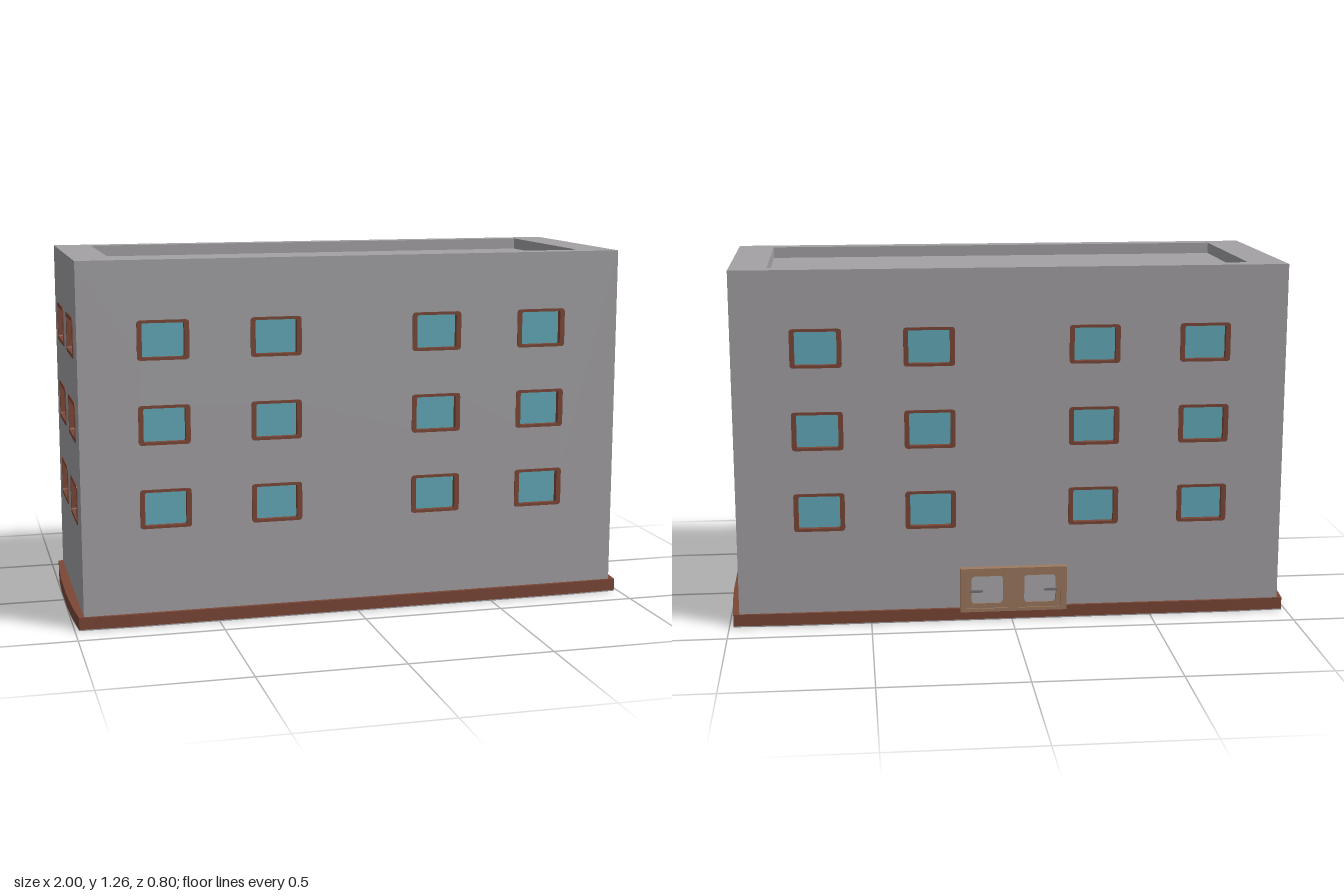
import * as THREE from 'three';

const mat = (name, color) => {
  const m = new THREE.MeshStandardMaterial({ color });
  m.name = name;
  return m;
};

// Rounded rectangle outline, usable as a shape or a hole
function roundRect(cx, cy, w, h, r, Type = THREE.Shape) {
  const p = new Type(), a = w / 2, b = h / 2;
  p.moveTo(cx - a + r, cy - b);
  p.lineTo(cx + a - r, cy - b);
  p.quadraticCurveTo(cx + a, cy - b, cx + a, cy - b + r);
  p.lineTo(cx + a, cy + b - r);
  p.quadraticCurveTo(cx + a, cy + b, cx + a - r, cy + b);
  p.lineTo(cx - a + r, cy + b);
  p.quadraticCurveTo(cx - a, cy + b, cx - a, cy + b - r);
  p.lineTo(cx - a, cy - b + r);
  p.quadraticCurveTo(cx - a, cy - b, cx - a + r, cy - b);
  return p;
}

const extrude = (shape, depth) =>
  new THREE.ExtrudeGeometry(shape, { depth, bevelEnabled: false, curveSegments: 3 });

export function createModel() {
  const wallGrey = mat('wall grey', 0xa4a2a5);
  const brown = mat('trim brown', 0x7c4737);
  const blue = mat('glass blue', 0x63acbc);
  const wood = mat('door wood', 0x9f7b60);
  const paneGrey = mat('door pane grey', 0xaeacb0);
  const metal = mat('handle grey', 0x77757a);

  const model = new THREE.Group();
  const add = (parent, name, geo, material, x = 0, y = 0, z = 0) => {
    const m = new THREE.Mesh(geo, material);
    m.name = name;
    m.position.set(x, y, z);
    parent.add(m);
    return m;
  };

  const H = 1.26, HX = 0.966, HZ = 0.3825;
  const floors = [0.41, 0.70, 0.99];
  const body = new THREE.Group();
  body.name = 'body';
  body.position.set(-0.002, 0, 0.0025);
  model.add(body);

  // One wall with its windows; the outer face lies at local z = 0
  function wall(name, width, thick, angle, dist, xs, win) {
    const g = new THREE.Group();
    g.name = name;
    g.rotation.y = angle;
    g.position.set(Math.sin(angle) * dist, 0, Math.cos(angle) * dist);
    body.add(g);

    const panel = new THREE.Shape();
    panel.moveTo(-width / 2, 0.004);
    panel.lineTo(width / 2, 0.004);
    panel.lineTo(width / 2, H);
    panel.lineTo(-width / 2, H);
    panel.closePath();
    for (const y of floors) for (const x of xs)
      panel.holes.push(roundRect(x, y, win.w - 0.006, win.h - 0.006, 0.01, THREE.Path));
    add(g, name + 'Panel', extrude(panel, thick), wallGrey, 0, 0, -thick);

    const ring = roundRect(0, 0, win.w, win.h, 0.012);
    ring.holes.push(roundRect(0, 0, win.w - 2 * win.jamb, win.h - 2 * win.rail, 0.006, THREE.Path));
    const frame = extrude(ring, win.depth + 0.006);
    const glass = new THREE.BoxGeometry(win.w - 0.01, win.h - 0.01, 0.006);
    for (const y of floors) for (const x of xs) {
      add(g, 'windowFrame', frame, brown, x, y, -win.depth - 0.003);
      add(g, 'windowGlass', glass, blue, x, y, -win.depth);
    }
  }

  const longWin = { w: 0.178, h: 0.136, jamb: 0.017, rail: 0.010, depth: 0.02 };
  const endWin = { w: 0.214, h: 0.138, jamb: 0.014, rail: 0.013, depth: 0.08 };
  const longXs = [-0.677, -0.288, 0.288, 0.677];
  const endXs = [-0.166, 0.166];
  const TZ = 0.065, TX = 0.13;
  wall('frontWall', 2 * HX, TZ, 0, HZ, longXs, longWin);
  wall('backWall', 2 * HX, TZ, Math.PI, HZ, longXs, longWin);
  wall('leftWall', 2 * (HZ - TZ), TX, Math.PI / 2, HX, endXs, endWin);
  wall('rightWall', 2 * (HZ - TZ), TX, -Math.PI / 2, HX, endXs, endWin);

  // Sunken roof between the parapets
  add(body, 'roof', new THREE.BoxGeometry(2 * (HX - TX), 0.04, 2 * (HZ - TZ)), wallGrey, 0, 1.2, 0);

  // Plinth with slightly bowed ends
  const outline = new THREE.Shape([
    [-0.985, -0.388], [-0.80, -0.395], [0.80, -0.395], [0.985, -0.388], [0.995, -0.25], [1, -0.1],
    [1, 0.1], [0.995, 0.25], [0.985, 0.388], [0.80, 0.395], [-0.80, 0.395], [-0.985, 0.388],
    [-0.995, 0.25], [-1, 0.1], [-1, -0.1], [-0.995, -0.25],
  ].map(([x, y]) => new THREE.Vector2(x, y)));
  const slab = (name, y, h, m) => {
    add(model, name, extrude(outline, h), m, 0, y, 0.004).rotation.x = -Math.PI / 2;
  };
  slab('plinth', 0.004, 0.042, brown);
  slab('underside', 0, 0.004, wallGrey);

  // Double door on the back, built facing +z and turned round
  const door = new THREE.Group();
  door.name = 'doubleDoor';
  door.rotation.y = Math.PI;
  door.position.set(-0.005, 0.035, -0.378);
  model.add(door);
  const W = 0.38, DH = 0.16;
  const surround = roundRect(0, DH / 2, W, DH, 0.002);
  for (const s of [-1, 1])
    surround.holes.push(roundRect(s * 0.094, DH / 2 - 0.002, 0.15, 0.132, 0.002, THREE.Path));
  add(door, 'doorSurround', extrude(surround, 0.027), wood);
  for (const s of [-1, 1]) {
    const leaf = roundRect(s * 0.094, DH / 2 - 0.002, 0.15, 0.132, 0.002);
    leaf.holes.push(roundRect(s * 0.094, DH / 2, 0.112, 0.1, 0.012, THREE.Path));
    add(door, 'doorLeaf', extrude(leaf, 0.022), wood);
    add(door, 'doorPane', new THREE.BoxGeometry(0.12, 0.11, 0.006), paneGrey, s * 0.094, DH / 2, 0.014);
    add(door, 'doorHandle', new THREE.BoxGeometry(0.05, 0.009, 0.005), metal, s * 0.134, DH / 2 - 0.004, 0.0245);
  }
  return model;
}
